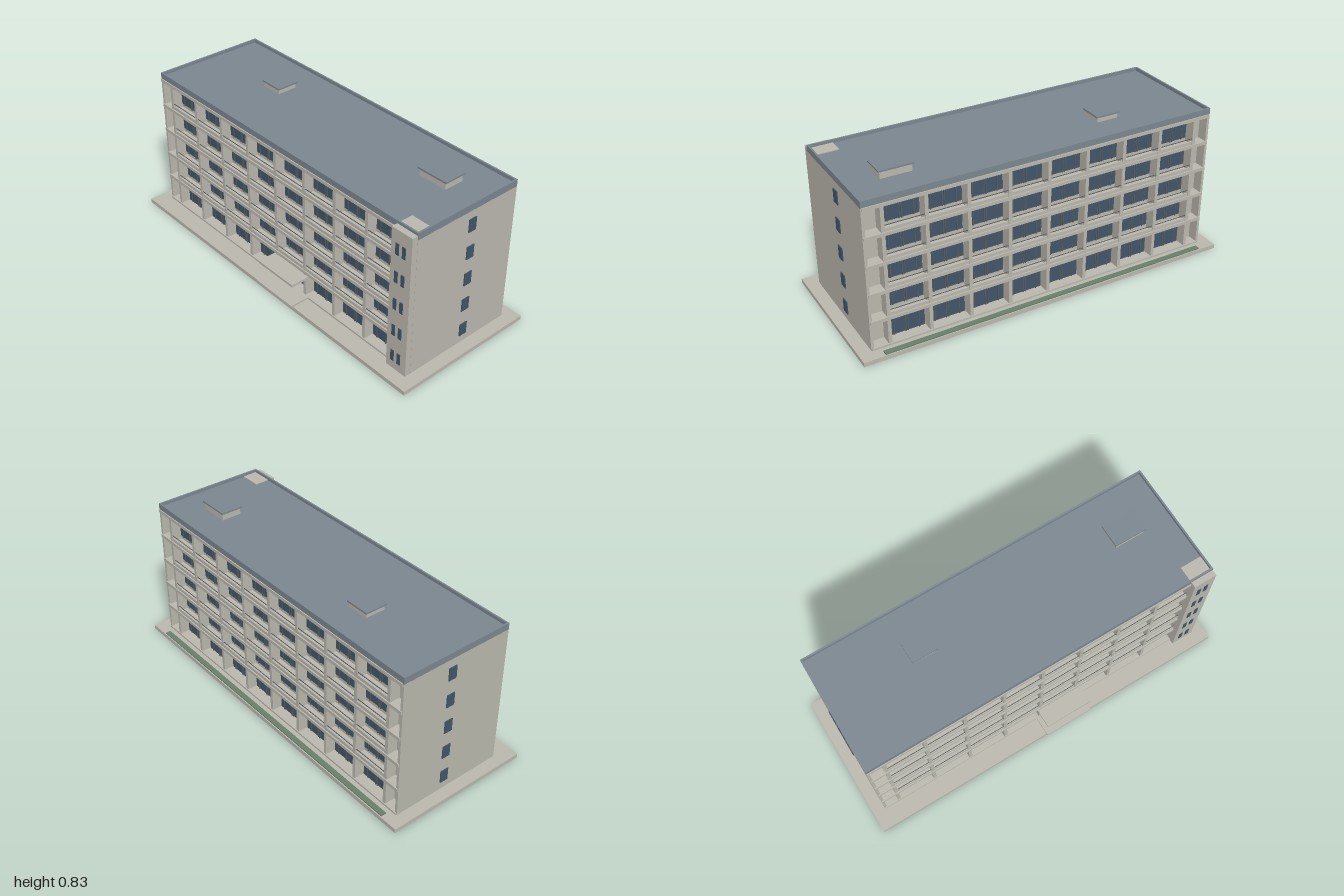
import * as THREE from 'three';

const mat = (name, color) => Object.assign(new THREE.MeshStandardMaterial({ color }), { name });

export function createModel() {
  const concrete = mat('concrete', 0xbab8ae);
  const slate = mat('slate roofing', 0x7c8790);
  const glass = mat('window glass', 0x40566a);
  const frame = mat('dark frame', 0x545c60);
  const green = mat('planting', 0x68806c);

  const root = new THREE.Group();
  root.name = 'apartmentBlock';

  // Box given by its limits on each axis
  const box = (name, material, x0, x1, y0, y1, z0, z1, parent = root) => {
    const m = new THREE.Mesh(new THREE.BoxGeometry(x1 - x0, y1 - y0, z1 - z0), material);
    m.position.set((x0 + x1) / 2, (y0 + y1) / 2, (z0 + z1) / 2);
    m.name = name;
    parent.add(m);
    return m;
  };

  const X0 = -0.938, X1 = 0.935, ZF = 0.288, ZB = -0.33;
  const GROUND = 0.022, FLOOR = 0.147, RECESS = 0.055;
  const BAY0 = -0.85, PITCH = 0.211;

  // Plinth, entrance pad and planting strip
  box('plinth', concrete, -1, 1, 0, GROUND, -0.396, 0.388);
  box('entrancePad', concrete, -0.03, 0.235, GROUND, 0.032, 0.25, 0.398);
  box('plantingStrip', green, -0.9, 0.89, GROUND, 0.028, -0.39, -0.362);

  // Recessed core and full-depth end walls
  box('core', concrete, X0 + 0.01, X1 - 0.01, GROUND, 0.765, ZB + RECESS, ZF - RECESS);
  box('rightEndWall', concrete, X0, X0 + 0.014, GROUND, 0.765, ZB, ZF);
  box('leftEndWall', concrete, X1 - 0.014, X1, GROUND, 0.765, ZB, ZF);

  // One glazed bay: frame, panes and bars; dir is the outward z direction
  const glazedBay = (x0, x1, y0, y1, z, dir) => {
    const g = new THREE.Group();
    g.name = 'bayWindow';
    const layer = (name, m, a, b, c, d, t) =>
      box(name, m, a, b, c, d, Math.min(z, z + dir * t), Math.max(z, z + dir * t), g);
    layer('windowFrame', frame, x0, x1, y0, y1, 0.003);
    layer('glazing', glass, x0 + 0.006, x1 - 0.006, y0 + 0.006, y1 - 0.006, 0.005);
    const w = x1 - x0;
    for (const f of [0.16, 0.47, 0.53, 0.84])
      layer('mullion', frame, x0 + w * f - 0.0025, x0 + w * f + 0.0025, y0, y1, 0.008);
    layer('transom', frame, x0, x1, y1 - 0.017, y1 - 0.013, 0.007);
    root.add(g);
  };

  // Both long facades: slabs, fins, windows and rails
  for (const dir of [1, -1]) {
    const face = dir > 0 ? ZF : ZB;
    const wall = face - dir * RECESS;
    const outer = face + dir * 0.005;
    const span = (a, b) => [Math.min(a, b), Math.max(a, b)];

    for (let i = 0; i <= 5; i++) {
      const top = i === 0 ? 0.032 : 0.032 + FLOOR * i;
      const bottom = i === 0 ? GROUND : top - 0.017;
      box('balconySlab', concrete, X0 + 0.004, X1 - 0.004, bottom, top, ...span(wall, outer));
    }
    for (let k = 0; k <= 8; k++) {
      const x = BAY0 + PITCH * k;
      box('fin', concrete, x - 0.009, x + 0.009, GROUND, 0.765, ...span(wall, face));
    }
    for (let i = 0; i < 5; i++) {
      const y = 0.032 + FLOOR * i;
      for (let k = 0; k < 8; k++) {
        const x0 = BAY0 + PITCH * k + 0.011, x1 = x0 + PITCH - 0.022;
        glazedBay(x0, x1, i ? y + 0.019 : y, y + 0.117, wall, dir);
        if (i) {
          box('handrail', frame, x0 - 0.002, x1 + 0.002, y + 0.03, y + 0.033,
            ...span(face - dir * 0.006, face - dir * 0.003));
          box('balconyUpstand', concrete, x0 - 0.002, x1 + 0.002, y, y + 0.017,
            ...span(face - dir * 0.01, face - dir * 0.002));
        }
      }
    }
  }

  // Stair tower with paired slit windows
  box('stairTower', concrete, 0.812, X1 - 0.001, GROUND, 0.785, 0.2, 0.319);
  for (let i = 0; i < 5; i++) {
    const y = 0.067 + 0.1475 * i;
    for (const x of [0.84, 0.88])
      box('towerWindow', glass, x, x + 0.02, y, y + 0.06, 0.316, 0.322);
    // End wall windows
    box('leftEndWindow', glass, X1 - 0.003, X1 + 0.005, y - 0.002, y + 0.066, -0.07, -0.025);
    box('rightEndWindow', glass, X0 - 0.005, X0 + 0.003, y - 0.002, y + 0.066, -0.07, -0.025);
  }

  // Entrance canopy and doors
  box('canopy', concrete, -0.025, 0.232, 0.14, 0.153, 0.235, 0.388);
  for (const x of [0.06, 0.104])
    box('entranceDoor', glass, x, x + 0.04, 0.032, 0.13, 0.24, 0.246);

  // Roof deck and parapet
  box('roofDeck', slate, X0 + 0.004, X1 - 0.004, 0.764, 0.781, ZB + 0.004, ZF - 0.004);
  const rim = new THREE.Shape();
  rim.moveTo(X0, -ZF).lineTo(X1, -ZF).lineTo(X1, -ZB).lineTo(X0, -ZB).closePath();
  const t = 0.009, hole = new THREE.Path();
  hole.moveTo(X0 + t, -ZF + t).lineTo(X0 + t, -ZB - t).lineTo(X1 - t, -ZB - t)
    .lineTo(X1 - t, -ZF + t).closePath();
  rim.holes.push(hole);
  const parapet = new THREE.Mesh(
    new THREE.ExtrudeGeometry(rim, { depth: 0.036, bevelEnabled: false }).rotateX(-Math.PI / 2), slate);
  parapet.position.y = 0.763;
  parapet.name = 'parapet';
  root.add(parapet);

  // Rooftop vents with overhanging caps
  for (const [x0, x1, top] of [[-0.508, -0.375, 0.815], [0.6, 0.775, 0.826]]) {
    box('ventBody', concrete, x0 + 0.008, x1 - 0.008, 0.78, top - 0.008, -0.156, -0.048);
    box('ventCap', slate, x0, x1, top - 0.009, top, -0.163, -0.041);
  }

  return root;
}
